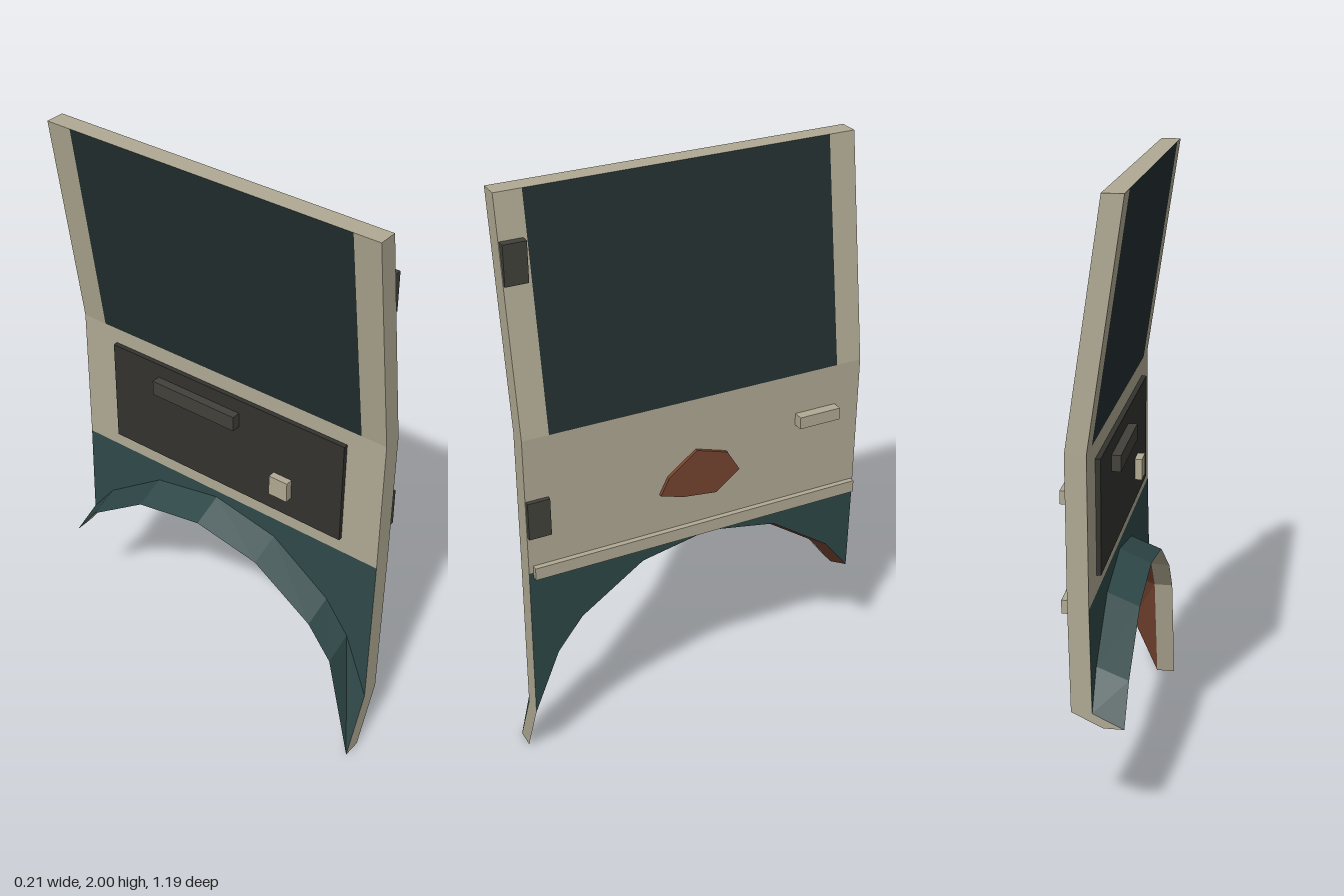
import * as THREE from 'three';

const mat = (name, color) => {
  const m = new THREE.MeshStandardMaterial({ color });
  m.name = name;
  return m;
};

export function createModel() {
  const beige = mat('beige paint', 0xb0a993);
  const teal = mat('dark teal paint', 0x2f4848);
  const glass = mat('dark glass', 0x232f30);
  const rust = mat('rust', 0x74432f);
  const grey = mat('dark grey metal', 0x42413b);
  const trim = mat('charcoal trim', 0x33322e);

  const group = new THREE.Group();
  group.name = 'vehicleDoor';
  const add = (name, geometry, material) => {
    const mesh = new THREE.Mesh(geometry, material);
    mesh.name = name;
    group.add(mesh);
    return mesh;
  };

  // Door shell: stations along z as [z, arch edge y, arch lip y]
  const THICK = 0.065;
  const stations = [
    [0.597, 0.21, 0], [0.508, 0.435, 0.393], [0.42, 0.55, 0.51], [0.2, 0.702, 0.66],
    [-0.04, 0.75, 0.705], [-0.29, 0.702, 0.66], [-0.508, 0.55, 0.51], [-0.597, 0.437, 0.39],
  ];
  // Each cross-section runs down the outer face and back up the inner face
  const rings = stations.map(([z, edge, lip]) => {
    const edgeX = 0.053 + (edge - 0.2) * 0.022;
    const outer = [[-0.04, 2], [0.07, 1.255], [0.066, 0.775], [edgeX, edge], [-0.04, lip]];
    const inner = outer.map(([x, y]) => [x - THICK, y]).reverse();
    return [...outer, ...inner].map(([x, y]) => [x, y, z]);
  });

  // Collect quads by part, then make one mesh for each
  const parts = {};
  const quad = (part, a, b, c, d) => {
    (parts[part] ??= []).push(...a, ...b, ...c, ...a, ...c, ...d);
  };
  const rows = ['frame', 'frame', 'lowerPanel', 'archFlange', 'frame',
    'archLining', 'lowerPanel', 'frame', 'frame', 'frame'];
  for (let i = 0; i < rings.length - 1; i++) {
    const A = rings[i], B = rings[i + 1];
    for (let k = 0; k < 10; k++) {
      const n = (k + 1) % 10;
      const isWindow = (k === 0 || k === 8) && i > 0 && i < rings.length - 2;
      quad(isWindow ? 'window' : rows[k], A[k], A[n], B[n], B[k]);
    }
  }
  // Front and rear edges of the door
  const F = rings[0], R = rings[rings.length - 1];
  for (let k = 0; k < 4; k++) {
    quad('frame', F[9 - k], F[8 - k], F[k + 1], F[k]);
    quad('frame', R[k], R[k + 1], R[8 - k], R[9 - k]);
  }
  const partMaterials = {
    frame: beige, window: glass, lowerPanel: teal, archLining: teal, archFlange: rust,
  };
  for (const [name, points] of Object.entries(parts)) {
    const g = new THREE.BufferGeometry();
    g.setAttribute('position', new THREE.Float32BufferAttribute(points, 3));
    g.computeVertexNormals();
    add(name, g, partMaterials[name]);
  }

  // Boxes given by their limits on each axis
  const box = (name, material, [x0, x1], [y0, y1], [z0, z1]) => {
    add(name, new THREE.BoxGeometry(x1 - x0, y1 - y0, z1 - z0), material)
      .position.set((x0 + x1) / 2, (y0 + y1) / 2, (z0 + z1) / 2);
  };
  box('upperHinge', grey, [-0.02, 0.008], [1.73, 1.86], [0.52, 0.595]);
  box('lowerHinge', grey, [0.055, 0.083], [0.91, 1.04], [0.52, 0.595]);
  box('outerHandle', beige, [0.06, 0.103], [1.07, 1.112], [-0.507, -0.357]);
  box('sideMoulding', beige, [0.055, 0.085], [0.757, 0.8], [-0.59, 0.582]);
  box('innerTrimPanel', trim, [-0.012, 0.005], [0.83, 1.2], [-0.46, 0.46]);
  box('armrest', grey, [-0.042, -0.01], [1.097, 1.15], [-0.27, 0.06]);
  box('innerHandle', beige, [-0.037, -0.01], [0.907, 0.98], [0.2, 0.27]);

  // Rust patch on the outer skin, drawn as (-z, y) and turned to face +x
  const outline = [[-0.14, 0.94], [-0.06, 0.915], [0.06, 0.9], [0.145, 0.965],
    [0.1, 1.04], [-0.01, 1.075], [-0.11, 1.0]];
  const shape = new THREE.Shape(outline.map(([u, v]) => new THREE.Vector2(u, v)));
  const patch = new THREE.ExtrudeGeometry(shape, { depth: 0.015, bevelEnabled: false });
  patch.rotateY(Math.PI / 2);
  patch.translate(0.065, 0, 0);
  add('rustPatch', patch, rust);

  return group;
}
